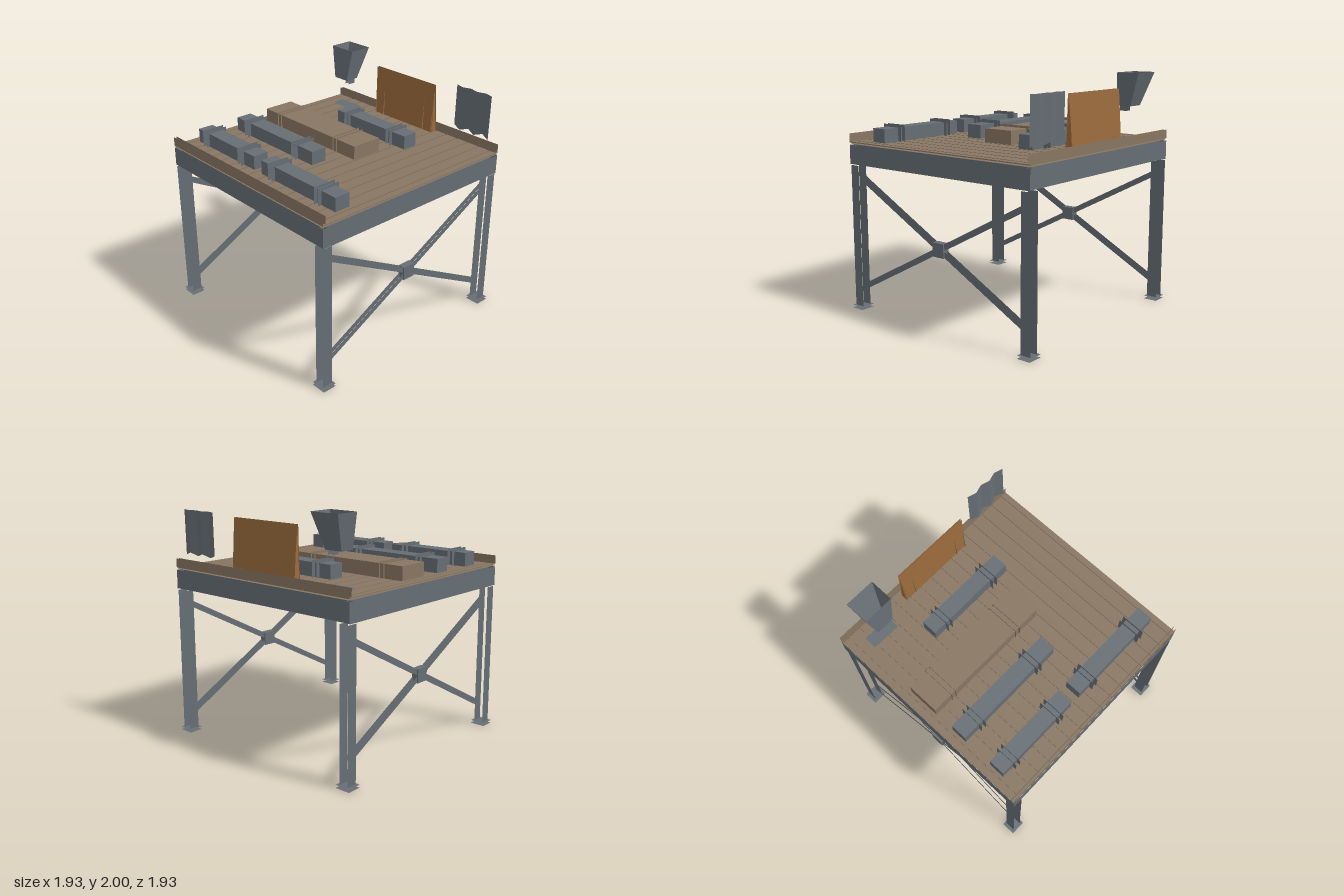
import * as THREE from 'three';
import { mergeGeometries } from 'three/addons/utils/BufferGeometryUtils.js';

const mat = (name, color) => {
  const m = new THREE.MeshStandardMaterial({ color, side: THREE.DoubleSide, flatShading: true });
  m.name = name;
  return m;
};

// Two parallel faces of a box, perpendicular to the given axis
function pair(axis, [x0, x1], [y0, y1], [z0, z1]) {
  const w = x1 - x0, h = y1 - y0, d = z1 - z0;
  const parts = [-1, 1].map((s) => {
    const p = axis === 'x' ? new THREE.PlaneGeometry(d, h) : axis === 'y' ? new THREE.PlaneGeometry(w, d) : new THREE.PlaneGeometry(w, h);
    if (axis === 'x') p.rotateY(s * Math.PI / 2).translate(s * w / 2, 0, 0);
    if (axis === 'y') p.rotateX(-s * Math.PI / 2).translate(0, s * h / 2, 0);
    if (axis === 'z') p.rotateY(s > 0 ? 0 : Math.PI).translate(0, 0, s * d / 2);
    return p;
  });
  return mergeGeometries(parts).translate((x0 + x1) / 2, (y0 + y1) / 2, (z0 + z1) / 2);
}

// Strip of quads between two rows of points
function strip(a, b) {
  const pos = [], idx = [];
  a.forEach((p, i) => {
    pos.push(...p, ...b[i]);
    if (i) idx.push(2 * i - 2, 2 * i - 1, 2 * i, 2 * i, 2 * i - 1, 2 * i + 1);
  });
  const g = new THREE.BufferGeometry();
  g.setAttribute('position', new THREE.Float32BufferAttribute(pos, 3));
  g.setIndex(idx);
  g.computeVertexNormals();
  return g;
}

export function createModel() {
  const root = new THREE.Group();
  const steel = mat('steel', 0x666e74);
  const timber = mat('timber', 0x887662);
  const board = mat('orange board', 0x9b6b3d);
  const add = (name, geo, m) => {
    const mesh = new THREE.Mesh(geo, m);
    mesh.name = name;
    root.add(mesh);
    return mesh;
  };

  // Legs, feet, crossed braces and their centre plates
  for (const sx of [-1, 1]) {
    for (const sz of [-1, 1]) {
      const x = sx * 0.9, z = sz * 0.905;
      add('leg', pair('x', [x - 0.04, x + 0.04], [0.02, 1.24], [z - 0.045, z + 0.045]), steel);
      add('footPlate', pair('y', [x - 0.065, x + 0.065], [0, 0.025], [z - 0.06, z + 0.06]), steel);
      const bar = new THREE.Shape([[-0.88, 0.165], [0.88, 1.1], [0.88, 1.15], [-0.88, 0.215]]
        .map(([u, v]) => new THREE.Vector2(u * sz, v)));
      for (const off of [-0.018, 0.018]) {
        add('brace', new THREE.ShapeGeometry(bar).rotateY(Math.PI / 2).translate(sx * 0.87 + off, 0, 0), steel);
      }
    }
    add('bracePlate', new THREE.BoxGeometry(0.06, 0.115, 0.115).translate(sx * 0.87, 0.655, 0), steel);
    // Perimeter frame
    const e = [sx * 0.95, sx * 0.91].sort((a, b) => a - b);
    add('sideBeam', pair('x', e, [1.25, 1.41], [-0.95, 0.95]), steel);
    add('endBeam', pair('z', [-0.95, 0.95], [1.255, 1.41], e), steel);
    const c = [sx * 0.95, sx * 0.925].sort((a, b) => a - b);
    add('kerb', pair('z', [-0.95, 0.95], [1.43, 1.505], c), timber);
    // Lamp shade under the deck
    add('lampShade', new THREE.CylinderGeometry(0.04, 0.1, 0.08, 10, 1, true).translate(sx * 0.5, 1.31, 0),
      steel);
  }

  // Joists
  for (let i = 0; i < 6; i++) {
    const z = -0.7 + i * 0.28;
    add('joist', pair('z', [-0.91, 0.91], [1.34, 1.41], [z - 0.02, z + 0.02]), steel);
  }

  // Deck sheet and planks
  add('deckBase', pair('y', [-0.95, 0.95], [1.42, 1.428], [-0.95, 0.95]), timber);
  const gap = 0.119;
  for (let i = 0; i <= 16; i++) {
    const x0 = Math.max(-0.95, -0.895 + (i - 1) * gap + 0.007);
    const x1 = Math.min(0.95, -0.895 + i * gap - 0.007);
    add('plank', new THREE.BoxGeometry(x1 - x0, 0.008, 1.9).translate((x0 + x1) / 2, 1.434, 0), timber);
  }

  // Strapped stock lying on the deck: x range, z range, strap margin, material
  const stock = [
    [-0.86, -0.095, 0.62, 0.755, 0.033, steel],
    [0, 0.86, 0.62, 0.755, 0.033, steel],
    [-0.86, 0.14, 0.22, 0.36, 0.033, steel],
    [-0.41, 0.405, -0.545, -0.41, 0.033, steel],
    [-0.86, 0.285, -0.235, 0.04, 0.012, timber],
  ];
  for (const [x0, x1, z0, z1, margin, m] of stock) {
    const top = 1.555, bottom = 1.44, zc = (z0 + z1) / 2, w = (z1 - z0) / 2;
    add('stockBeam', new THREE.BoxGeometry(x1 - x0, top - bottom, z1 - z0)
      .translate((x0 + x1) / 2, (top + bottom) / 2, zc), m);
    const rect = (hw, lo, hi) => [[-hw, lo], [hw, lo], [hw, hi], [-hw, hi]].map(([u, v]) => new THREE.Vector2(u, v));
    const ring = new THREE.Shape(rect(w + margin, bottom, top + Math.min(margin, 0.022)));
    ring.holes.push(new THREE.Path(rect(w - 0.004, bottom + 0.004, top - 0.002)));
    for (const f of [0.17, 0.8]) {
      for (const off of [-0.022, 0.022]) {
        add('strap', new THREE.ShapeGeometry(ring).rotateY(Math.PI / 2)
          .translate(x0 + f * (x1 - x0) + off, 0, zc), m);
      }
    }
  }

  // Standing board: two leaning faces with wedge props
  const bx = [-0.345, 0.34];
  for (const [zb, zt] of [[-0.815, -0.825], [-0.87, -0.84]]) {
    add('boardFace', strip(bx.map((x) => [x, 1.885, zt]), bx.map((x) => [x, 1.46, zb])), board);
  }
  const wedge = new THREE.Shape([[0.803, 1.46], [0.872, 1.46], [0.83, 1.86]].map(([u, v]) => new THREE.Vector2(u, v)));
  for (const x of [-0.34, -0.24, 0.235, 0.335]) {
    add('boardProp', new THREE.ShapeGeometry(wedge).rotateY(Math.PI / 2).translate(x, 0, 0), board);
  }

  // Corrugated sheet
  const folds = [0, 1, 2, 3, 4, 5].map((i) => [0.505 + i * 0.076, i % 2]);
  add('corrugatedSheet', strip(
    folds.map(([x, k]) => [x, 1.915, -0.918 + k * 0.022]),
    folds.map(([x, k]) => [x, k ? 1.54 : 1.565, -0.912 + k * 0.022])), steel);

  // Hopper with an open top, its spout and the plate beneath
  const loop = (x0, x1, y, z0, z1) => [[x0, y, z0], [x0, y, z1], [x1, y, z1], [x1, y, z0], [x0, y, z0]];
  add('hopper', strip(loop(-0.8, -0.54, 2, -0.9, -0.695), loop(-0.745, -0.59, 1.72, -0.8, -0.675)), steel);
  add('hopperSpout', pair('x', [-0.63, -0.592], [1.68, 1.76], [-0.775, -0.7]), steel);
  add('hopperPlate', pair('y', [-0.8, -0.55], [1.44, 1.452], [-0.82, -0.71]), steel);

  return root;
}
